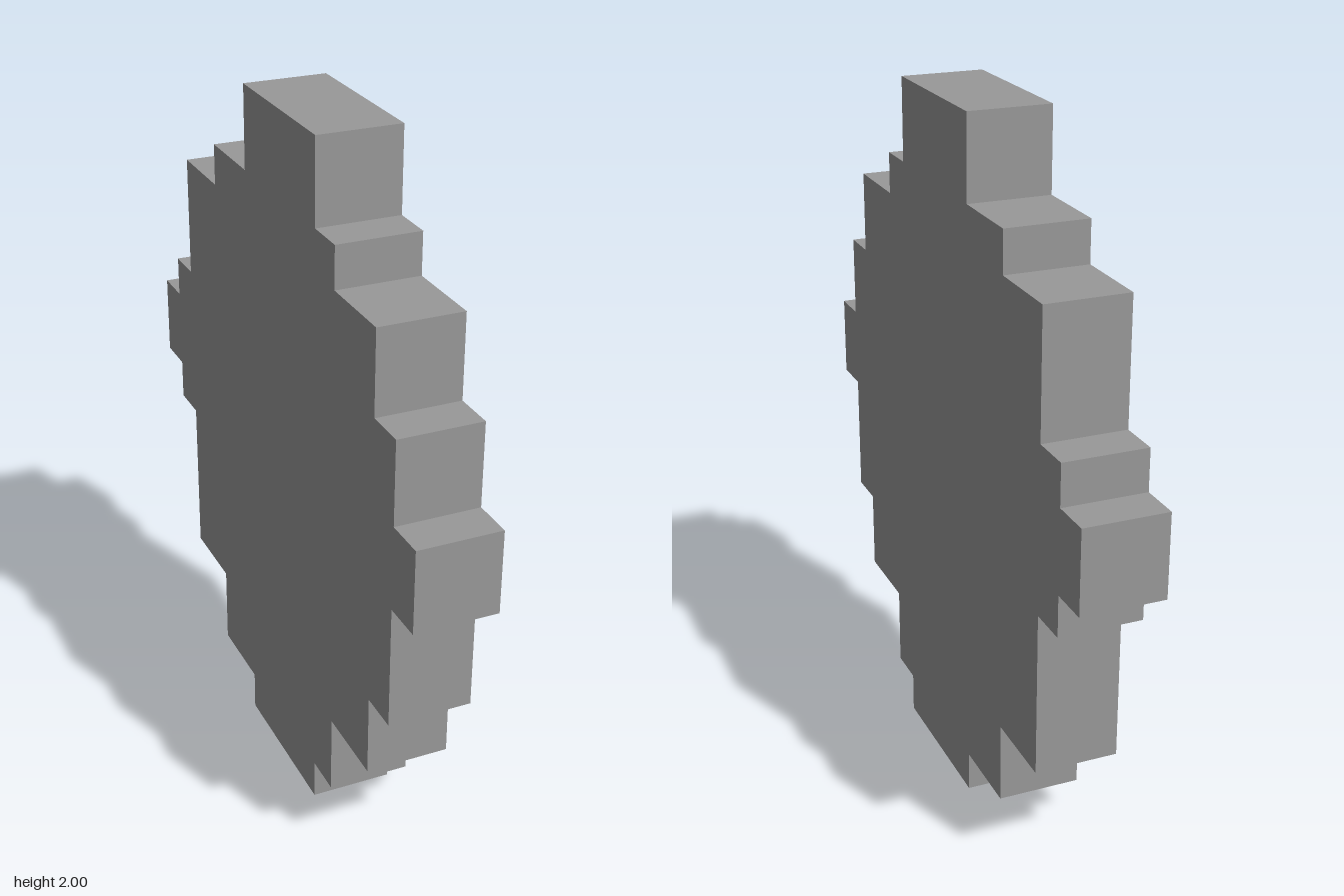
import * as THREE from 'three';

const U = 2 / 17; // one grid step of the stepped outline

export function createModel() {
  const group = new THREE.Group();
  group.name = 'steppedDisc';
  const grey = new THREE.MeshStandardMaterial({ color: 0x999999 });
  grey.name = 'grey';

  // Stepped outline, counter-clockwise, in grid steps (across, up)
  const outline = [
    [-2.5, 0], [1.5, 0], [1.5, 1], [3.5, 1], [3.5, 3], [5.5, 3],
    [5.5, 7], [6.5, 7], [6.5, 8], [7.5, 8], [7.5, 10], [6.5, 10],
    [6.5, 11], [5.5, 11], [5.5, 14], [3.5, 14], [3.5, 15], [1.5, 15],
    [1.5, 17], [-2.5, 17], [-2.5, 15], [-3.5, 15], [-3.5, 14], [-5.5, 14],
    [-5.5, 12], [-6.5, 12], [-6.5, 10], [-7.5, 10], [-7.5, 8], [-6.5, 8],
    [-6.5, 5], [-5.5, 5], [-5.5, 3], [-3.5, 3], [-3.5, 1], [-2.5, 1],
  ];
  const shape = new THREE.Shape(outline.map(([a, b]) => new THREE.Vector2(a * U, b * U)));

  // Slab two steps thick, turned so that its broad faces look along x
  const geometry = new THREE.ExtrudeGeometry(shape, { depth: 2 * U, bevelEnabled: false });
  geometry.translate(0, 0, -U);
  geometry.rotateY(Math.PI / 2);

  const slab = new THREE.Mesh(geometry, grey);
  slab.name = 'steppedSlab';
  group.add(slab);
  return group;
}
